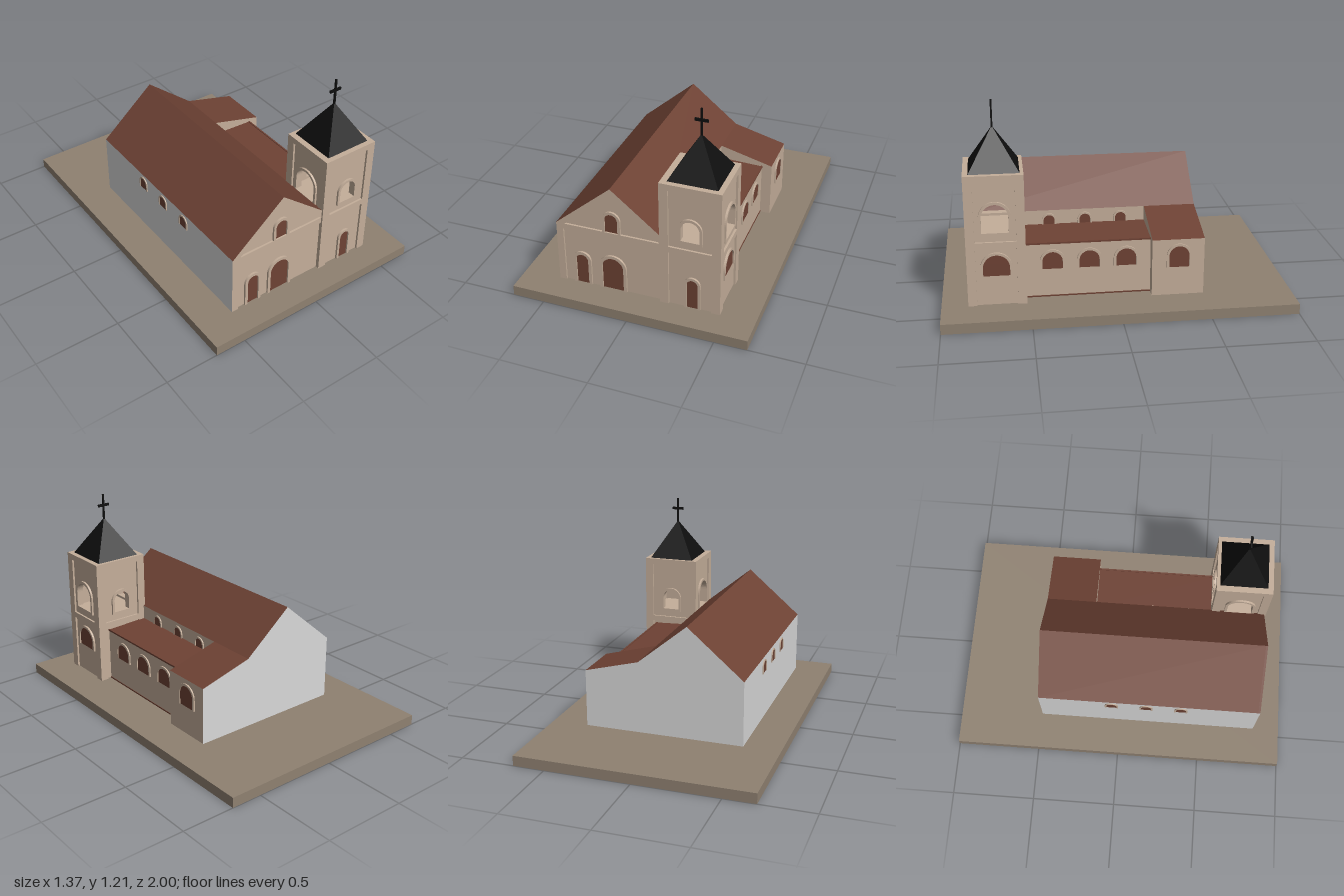
import * as THREE from 'three';

const mat = (name, color) => Object.assign(new THREE.MeshStandardMaterial({ color }), { name });

export function createModel() {
  const model = new THREE.Group();
  model.name = 'church';
  const stone = mat('beige stone', 0xc4ae9a);
  const plain = mat('pale grey wall', 0xd8d8d8);
  const brown = mat('brown roof and wood', 0x6e4234);
  const ground = mat('taupe ground', 0x8f8171);
  const black = mat('black spire', 0x0e0e0e);

  const add = (name, geo, material, parent = model) => {
    const m = new THREE.Mesh(geo, material);
    m.name = name;
    parent.add(m);
    return m;
  };

  // box given by its limits
  const box = (name, material, x0, x1, y0, y1, z0, z1) => {
    const m = add(name, new THREE.BoxGeometry(x1 - x0, y1 - y0, z1 - z0), material);
    m.position.set((x0 + x1) / 2, (y0 + y1) / 2, (z0 + z1) / 2);
    return m;
  };

  // convex profile (counter-clockwise from the front) run along z, one material per face
  const prism = (name, pts, z0, z1, front, back, sides) => {
    const pos = [], geo = new THREE.BufferGeometry(), mats = [];
    const face = (corners, material) => {
      const start = pos.length / 3;
      for (let i = 1; i < corners.length - 1; i++) pos.push(...corners[0], ...corners[i], ...corners[i + 1]);
      geo.addGroup(start, pos.length / 3 - start, mats.length);
      mats.push(material);
    };
    face(pts.map(([x, y]) => [x, y, z1]), front);
    face(pts.map(([x, y]) => [x, y, z0]).reverse(), back);
    pts.forEach(([x, y], i) => {
      const [u, v] = pts[(i + 1) % pts.length];
      face([[x, y, z1], [x, y, z0], [u, v, z0], [u, v, z1]], sides[i]);
    });
    geo.setAttribute('position', new THREE.Float32BufferAttribute(pos, 3));
    geo.computeVertexNormals();
    return add(name, geo, mats);
  };

  // round-headed outline standing on y = base
  const arch = (w, h, base = 0, Type = THREE.Shape) => {
    const r = w / 2, s = new Type();
    s.moveTo(-r, base);
    s.lineTo(r, base);
    s.lineTo(r, base + h - r);
    s.absarc(0, base + h - r, r, 0, Math.PI, false);
    s.lineTo(-r, base);
    return s;
  };
  const extrude = (shape, depth) =>
    new THREE.ExtrudeGeometry(shape, { depth, bevelEnabled: false, curveSegments: 12 });

  // arched opening: raised surround and an optional brown pane
  const opening = (name, pos, turn, w, h, rim = 0.018, pane = true, depth = 0.012) => {
    const g = new THREE.Group();
    g.name = name;
    g.position.set(...pos);
    g.rotation.y = turn;
    const r = w / 2, R = r + rim, s = h - r, u = new THREE.Shape();
    u.moveTo(R, 0);
    u.lineTo(R, s);
    u.absarc(0, s, R, 0, Math.PI, false);
    u.lineTo(-R, 0);
    u.lineTo(-r, 0);
    u.lineTo(-r, s);
    u.absarc(0, s, r, Math.PI, 0, true);
    u.lineTo(r, 0);
    add('surround', extrude(u, depth), stone, g);
    if (pane) add('pane', extrude(arch(w, h), 0.003), brown, g);
    model.add(g);
    return g;
  };
  const RIGHT = Math.PI / 2, LEFT = -Math.PI / 2;

  box('groundSlab', ground, -0.685, 0.685, 0, 0.06, -1, 1);

  // nave, side chapel and aisle
  prism('nave', [[-0.47, 0.06], [0.15, 0.06], [0.15, 0.485], [-0.14, 0.722], [-0.47, 0.44]],
    -0.49, 0.828, stone, plain, [plain, stone, brown, brown, plain]);
  prism('sideChapel', [[0.15, 0.06], [0.472, 0.06], [0.472, 0.4], [0.15, 0.485]],
    -0.49, -0.19, stone, plain, [plain, stone, brown, stone]);
  prism('aisle', [[0.15, 0.06], [0.41, 0.06], [0.41, 0.39], [0.15, 0.4]],
    -0.19, 0.525, stone, stone, [stone, stone, brown, stone]);
  box('aisleEave', brown, 0.405, 0.415, 0.384, 0.394, -0.19, 0.525);
  box('aisleFoot', brown, 0.405, 0.413, 0.06, 0.068, -0.19, 0.525);

  // raised mouldings of the front
  prism('cornerPilaster', [[-0.47, 0.06], [-0.43, 0.06], [-0.43, 0.405], [-0.47, 0.405]],
    0.828, 0.84, stone, stone, [stone, stone, stone, plain]);
  prism('cornice', [[-0.47, 0.405], [0.15, 0.405], [0.15, 0.44], [-0.47, 0.44]],
    0.828, 0.84, stone, stone, [stone, stone, stone, plain]);
  prism('leftRake', [[-0.47, 0.44], [-0.42, 0.44], [-0.14, 0.677], [-0.14, 0.722]],
    0.828, 0.84, stone, stone, [stone, stone, stone, brown]);
  prism('rightRake', [[-0.14, 0.677], [0.14, 0.44], [0.15, 0.485], [-0.14, 0.722]],
    0.828, 0.84, stone, stone, [stone, stone, brown, stone]);

  // front doors and gable window
  opening('mainDoor', [-0.142, 0.06, 0.828], 0, 0.125, 0.208);
  opening('sideDoor', [-0.326, 0.06, 0.828], 0, 0.072, 0.192);
  opening('gableWindow', [-0.142, 0.44, 0.828], 0, 0.075, 0.118, 0.016);

  // windows along both sides
  for (const z of [0.37, 0.16, -0.05]) {
    opening('aisleWindow', [0.41, 0.232, z], RIGHT, 0.115, 0.104, 0.014, true, 0.008);
    opening('clerestoryWindow', [0.15, 0.4, z], RIGHT, 0.064, 0.056, 0.01, true, 0.008);
    opening('leftWindow', [-0.47, 0.345, z], LEFT, 0.06, 0.07, 0.01, true, 0.006);
  }
  opening('chapelWindow', [0.472, 0.232, -0.345], RIGHT, 0.115, 0.128, 0.014, true, 0.008);

  // tower: recessed body, corner piers and bands
  const X = 0.3125, Z = 0.685, HX = 0.1725, HZ = 0.165, IN = 0.012, P = 0.05;
  box('towerBody', stone, X - HX + IN, X + HX - IN, 0.06, 0.48, Z - HZ + IN, Z + HZ - IN);
  box('towerBand', stone, X - HX, X + HX, 0.405, 0.44, Z - HZ, Z + HZ);
  box('towerTop', stone, X - HX, X + HX, 0.79, 0.827, Z - HZ, Z + HZ);
  for (const sx of [-1, 1]) for (const sz of [-1, 1]) {
    const p = add('towerPier', new THREE.BoxGeometry(P, 0.765, P), stone);
    p.position.set(X + sx * (HX - P / 2), 0.4425, Z + sz * (HZ - P / 2));
  }

  // belfry walls with see-through arches
  for (let i = 0; i < 4; i++) {
    const turn = i * Math.PI / 2, side = i % 2 === 1;
    const half = (side ? HZ : HX) - IN, out = (side ? HX : HZ) - IN;
    const w = side ? 0.15 : 0.105, h = side ? 0.165 : 0.125;
    const s = new THREE.Shape();
    s.moveTo(-half, 0.44);
    s.lineTo(half, 0.44);
    s.lineTo(half, 0.8);
    s.lineTo(-half, 0.8);
    s.holes.push(arch(w, h, 0.495, THREE.Path));
    const wall = add('belfryWall', extrude(s, 0.03).translate(0, 0, out - 0.03), stone);
    wall.position.set(X, 0, Z);
    wall.rotation.y = turn;
    const g = opening('belfryArch', [X + Math.sin(turn) * out, 0.495, Z + Math.cos(turn) * out],
      turn, w, h, 0.015, false);
    const sill = add('sill', new THREE.BoxGeometry(w + 0.03, 0.015, 0.012), stone, g);
    sill.position.set(0, -0.0075, 0.006);
  }
  opening('towerDoor', [0.325, 0.06, Z + HZ - IN], 0, 0.062, 0.187, 0.015);
  opening('towerWindow', [X + HX - IN, 0.235, Z], RIGHT, 0.15, 0.127, 0.014);

  // spire and cross
  const spire = add('spire', new THREE.ConeGeometry(0.14 * Math.SQRT2, 0.231, 4, 1).toNonIndexed()
    .rotateY(Math.PI / 4), black);
  spire.geometry.computeVertexNormals();
  spire.position.set(0.315, 0.9425, 0.68);
  box('crossPost', black, 0.31, 0.32, 1.04, 1.205, 0.675, 0.685);
  box('crossArm', black, 0.278, 0.352, 1.13, 1.145, 0.675, 0.685);

  return model;
}
